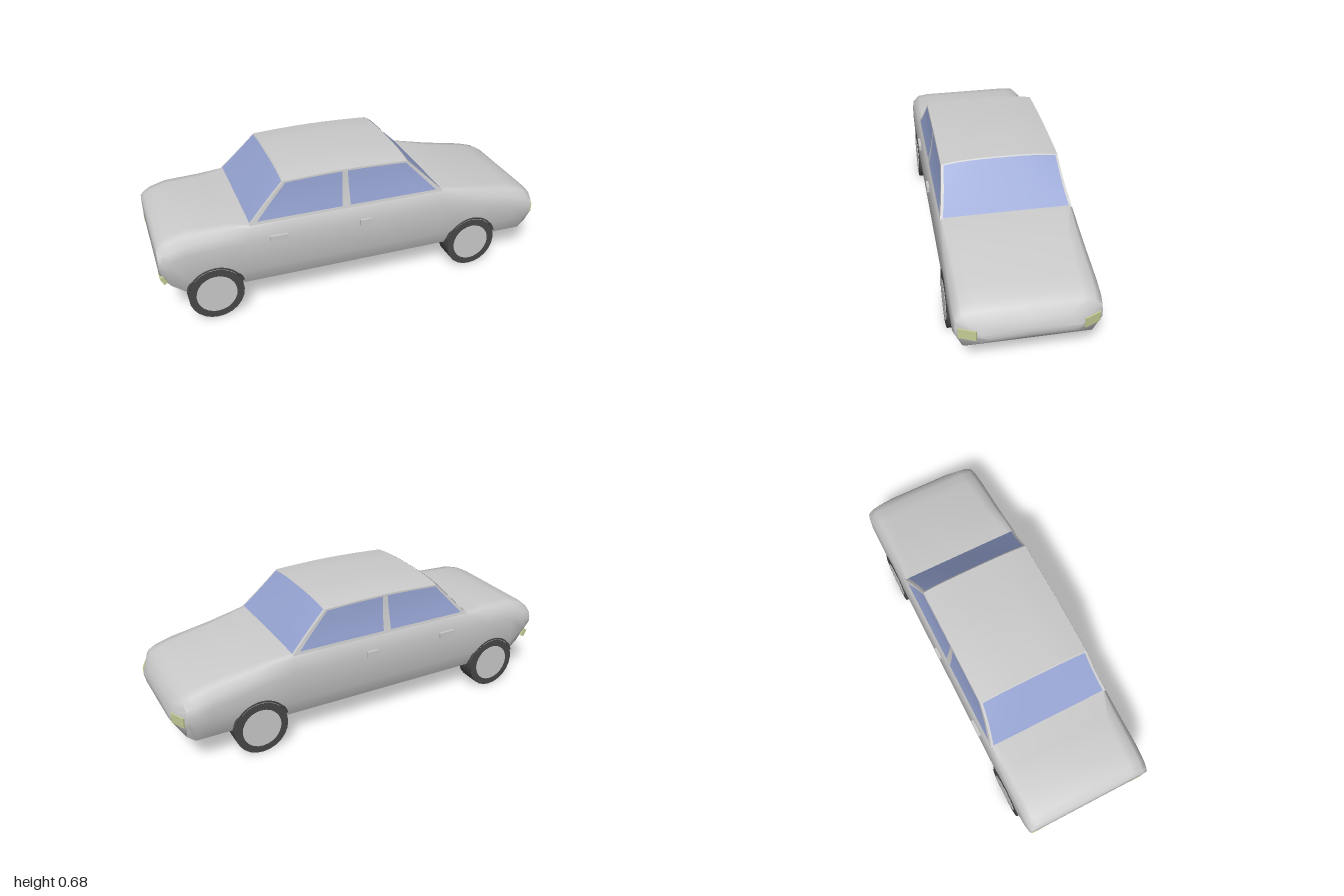
import * as THREE from 'three';
import { toCreasedNormals } from 'three/addons/utils/BufferGeometryUtils.js';

const material = (color) => new THREE.MeshStandardMaterial({ color, side: THREE.DoubleSide });
const lerp = THREE.MathUtils.lerp;

// Surface through a grid of points: point(i, j) returns [x, y, z]
function gridGeometry(ni, nj, point, crease = 0.7) {
  const positions = [], index = [];
  for (let i = 0; i <= ni; i++) for (let j = 0; j <= nj; j++) positions.push(...point(i, j));
  for (let i = 0; i < ni; i++) {
    for (let j = 0; j < nj; j++) {
      const a = i * (nj + 1) + j, b = a + nj + 1;
      index.push(a, b, a + 1, b, b + 1, a + 1);
    }
  }
  const geometry = new THREE.BufferGeometry();
  geometry.setAttribute('position', new THREE.Float32BufferAttribute(positions, 3));
  geometry.setIndex(index);
  return toCreasedNormals(geometry, crease);
}

// Lower body stations: x, bottom, top, half width, shoulder roundness
const stations = [
  [-1, 0.27, 0.405, 0.322, 1], [-0.985, 0.24, 0.42, 0.326, 1], [-0.95, 0.2, 0.44, 0.33, 1],
  [-0.87, 0.138, 0.463, 0.33, 1], [-0.7, 0.138, 0.466, 0.33, 0.8], [-0.57, 0.138, 0.468, 0.33, 0.3],
  [-0.4, 0.138, 0.475, 0.33, 0.2], [0.2, 0.138, 0.475, 0.33, 0.2], [0.42, 0.138, 0.472, 0.33, 0.3],
  [0.62, 0.138, 0.435, 0.33, 0.8], [0.83, 0.138, 0.4, 0.33, 1], [0.91, 0.138, 0.376, 0.33, 1],
  [0.95, 0.17, 0.355, 0.325, 1], [0.985, 0.21, 0.312, 0.255, 1], [1, 0.235, 0.275, 0.22, 1],
];

// Closed cross-section, running bottom, left side, top, right side
function section([x, bottom, top, w, r]) {
  const d = Math.min(0.09, (top - bottom) * 0.4);
  const half = [
    [w - 0.04, bottom], [w, bottom + d], [w, top - d],
    [w - 0.005 - 0.005 * (1 - r), top - d * 0.4 * r - 0.008],
    [w - 0.015 - 0.022 * r, top - 0.008 * r], [w - 0.03 - 0.06 * r, top],
  ];
  const left = half.map(([z, y]) => [x, y, z]);
  const right = half.map(([z, y]) => [x, y, -z]).reverse();
  return [[x, bottom, 0], ...left, [x, top, 0], ...right, [x, bottom, 0]];
}

function bodyGeometry() {
  const rings = stations.map(section);
  const cap = (ring, y) => ring.map(([x]) => [x, y, 0]);
  rings.unshift(cap(rings[0], 0.335));
  rings.push(cap(rings[rings.length - 1], 0.255));
  return gridGeometry(rings.length - 1, rings[0].length - 1, (i, j) => rings[i][j], 0.8);
}

// Cabin surfaces, with u and v from 0 to 1
const BELT = 0.465, BELT_Z = 0.317, ROOF_Z = 0.284;
const roofHeight = (u, t) => 0.668 + 0.01 * Math.sin(Math.PI * u) - 0.018 * Math.abs(t) ** 3;
const cabinX = (u, v) => lerp(lerp(-0.57, 0.425, u), lerp(-0.39, 0.235, u), v);
const cabinZ = (v) => lerp(BELT_Z, ROOF_Z, v) - 0.004 * Math.sin(Math.PI * v);

const roof = (u, v) => [cabinX(u, 1), roofHeight(u, 1 - 2 * v), ROOF_Z * (1 - 2 * v)];
const side = (s, out) => (u, v) =>
  [cabinX(u, v), lerp(BELT, roofHeight(u, 1), v), s * (cabinZ(v) + out)];
const end = (front, out) => (u, v) => {
  const t = (2 * u - 1) * (front ? -1 : 1);
  return [cabinX(front, v) + (front ? out : -out), lerp(BELT, roofHeight(front, t), v), t * cabinZ(v)];
};

// Part of a cabin surface between two u and two v limits
const patch = (surface, u0 = 0, u1 = 1, v0 = 0, v1 = 1) =>
  gridGeometry(10, 10, (i, j) => surface(lerp(u0, u1, i / 10), lerp(v0, v1, j / 10)));

export function createModel() {
  const car = new THREE.Group();
  car.name = 'car';
  const paint = material(0xcccccc);
  const glass = material(0x95a3d1);
  const rubber = material(0x484848);
  const lens = material(0xc6cd96);

  function add(name, geometry, mat, x = 0, y = 0, z = 0) {
    const mesh = new THREE.Mesh(geometry, mat);
    mesh.name = name;
    mesh.position.set(x, y, z);
    car.add(mesh);
    return mesh;
  }

  add('body', bodyGeometry(), paint);
  add('roof', patch(roof), paint);

  // Windscreen and rear window in their frames
  for (const [name, front] of [['rearWindow', 0], ['windscreen', 1]]) {
    add(name + 'Frame', patch(end(front, 0)), paint);
    add(name, patch(end(front, 0.003), 0.02, 0.98, 0.04, 0.98), glass);
  }

  for (const s of [1, -1]) {
    const label = s > 0 ? 'Near' : 'Far';

    // Side frame and door windows
    add('sideFrame' + label, patch(side(s, 0)), paint);
    add('rearDoorWindow' + label, patch(side(s, 0.002), 0.025, 0.462, 0.08, 0.96), glass);
    add('frontDoorWindow' + label, patch(side(s, 0.002), 0.505, 0.975, 0.08, 0.96), glass);

    // Door handles
    add('rearDoorHandle' + label, new THREE.BoxGeometry(0.085, 0.03, 0.016), paint, -0.435, 0.384, s * 0.333);
    add('frontDoorHandle' + label, new THREE.BoxGeometry(0.06, 0.03, 0.016), paint, 0.005, 0.382, s * 0.333);

    // Lamps: the front ones follow the angled corners
    const headlamp = add('headlamp' + label, new THREE.BoxGeometry(0.016, 0.05, 0.082), lens, 0.974, 0.26, s * 0.272);
    headlamp.rotation.y = -s * 0.42;
    const tailLamp = add('tailLamp' + label, new THREE.BoxGeometry(0.02, 0.04, 0.07), lens, -0.984, 0.25, s * 0.275);
    tailLamp.rotation.z = 0.45;

    // Wheels with hub discs and arches
    for (const [axle, x] of [['rear', -0.75], ['front', 0.6]]) {
      const tyre = new THREE.CylinderGeometry(0.134, 0.134, 0.106, 24).rotateX(Math.PI / 2);
      add(axle + 'Tyre' + label, tyre, rubber, x, 0.134, s * 0.279);
      const hub = new THREE.CylinderGeometry(0.098, 0.098, 0.01, 24).rotateX(Math.PI / 2);
      add(axle + 'Hub' + label, hub, paint, x, 0.134, s * 0.329);
      const arch = new THREE.TorusGeometry(0.138, 0.008, 6, 20, Math.PI * 0.8).rotateZ(Math.PI * 0.1);
      add(axle + 'Arch' + label, arch, rubber, x, 0.137, s * 0.324);
    }
  }
  return car;
}
